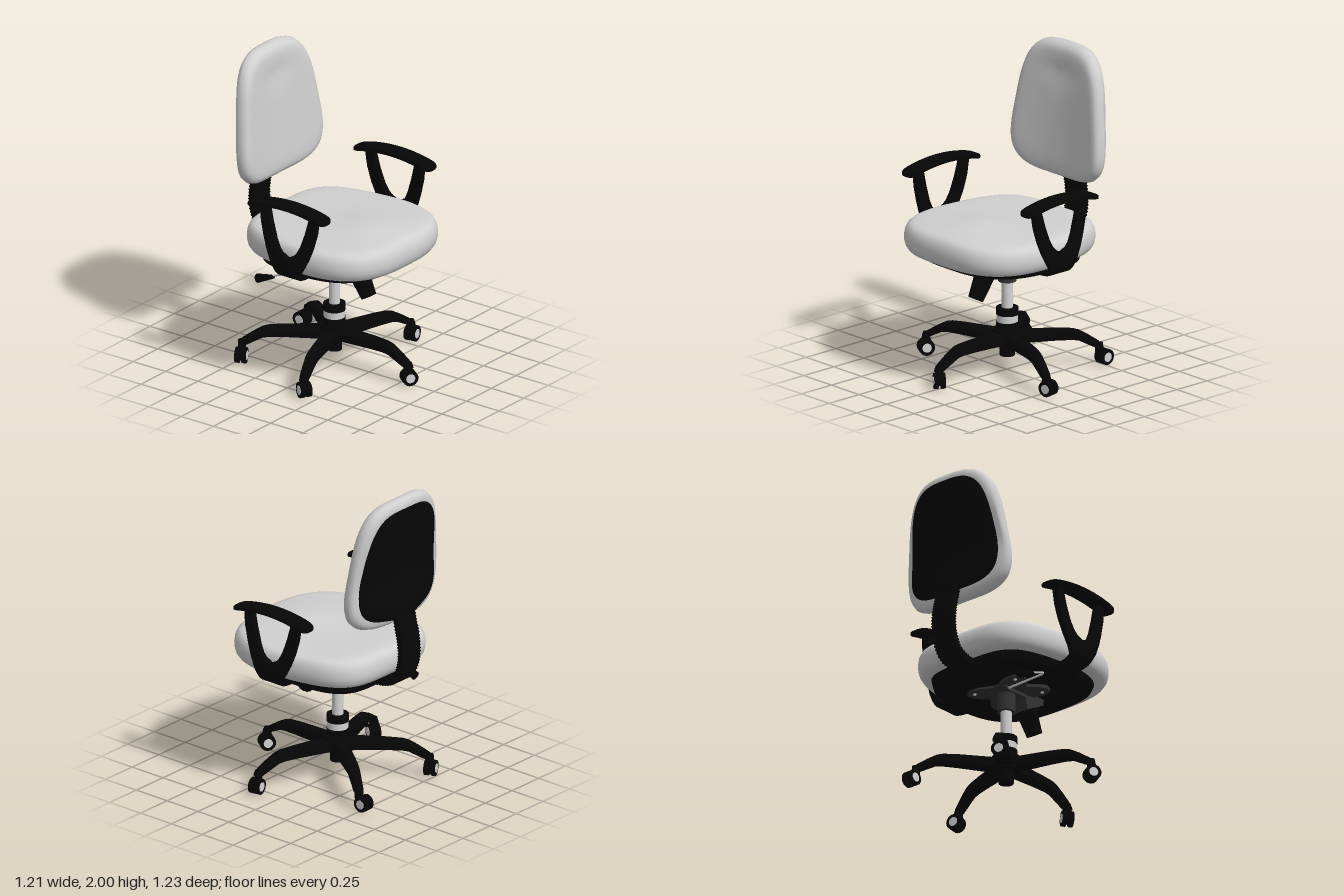
import * as THREE from 'three';
import { toCreasedNormals } from 'three/addons/utils/BufferGeometryUtils.js';

const mat = (name, color) => {
  const m = new THREE.MeshStandardMaterial({ color });
  m.name = name;
  return m;
};
const V = (x, y, z) => new THREE.Vector3(x, y, z);
const gauss = (a, w) => Math.exp(-((a / w) ** 2));

// Skin a list of closed cross-sections and cap both ends; faces always point outwards.
function loft(sections, crease = 0) {
  const n = sections[0].length, pts = sections.flat(), idx = [];
  for (let i = 0; i < sections.length - 1; i++) {
    for (let j = 0; j < n; j++) {
      const a = i * n + j, b = i * n + (j + 1) % n;
      idx.push(a, b, b + n, a, b + n, a + n);
    }
  }
  for (const s of [0, sections.length - 1]) {
    const c = pts.length;
    pts.push(sections[s].reduce((sum, p) => sum.add(p), V(0, 0, 0)).divideScalar(n));
    for (let j = 0; j < n; j++) {
      const a = s * n + j, b = s * n + (j + 1) % n;
      s === 0 ? idx.push(c, b, a) : idx.push(c, a, b);
    }
  }
  let volume = 0;
  for (let i = 0; i < idx.length; i += 3) {
    volume += pts[idx[i]].dot(pts[idx[i + 1]].clone().cross(pts[idx[i + 2]]));
  }
  if (volume < 0) idx.reverse();
  const g = new THREE.BufferGeometry().setFromPoints(pts);
  g.setIndex(idx);
  g.computeVertexNormals();
  return crease ? toCreasedNormals(g, crease) : g;
}

// Superellipse loop of [u, v] pairs.
function loop(count, w, h, power) {
  const f = (c) => Math.sign(c) * Math.abs(c) ** (2 / power);
  return Array.from({ length: count }, (_, i) => {
    const t = (i + 0.5) / count * Math.PI * 2;
    return [w * f(Math.cos(t)), h * f(Math.sin(t))];
  });
}

// Padded form: one outline scaled through [scale, depth] rings, then placed by a rule.
const padded = (outline, rings, place, crease) =>
  loft(rings.map(([s, d]) => outline.map(([u, v]) => place(u * s, v * s, d))), crease);

// Piecewise linear lookup in [key, value] rows with falling keys.
function lookup(rows, k) {
  if (k >= rows[0][0]) return rows[0][1];
  for (let i = 1; i < rows.length; i++) {
    const [k0, v0] = rows[i - 1], [k1, v1] = rows[i];
    if (k >= k1) return v0 + (v1 - v0) * (k0 - k) / (k0 - k1);
  }
  return rows[rows.length - 1][1];
}

export function createModel() {
  const fabric = mat('grey fabric', 0xd0d0d0);
  const black = mat('black plastic', 0x060606);
  const darkMetal = mat('dark metal', 0x343434);
  const metal = mat('light metal', 0xd4d4d4);

  const chair = new THREE.Group();
  chair.name = 'officeChair';
  chair.position.x = -0.007;
  const add = (name, geo, material, parent = chair, x = 0, y = 0, z = 0) => {
    const m = new THREE.Mesh(geo, material);
    m.name = name;
    m.position.set(x, y, z);
    parent.add(m);
    return m;
  };
  const cyl = (r0, r1, h, sides = 28) => new THREE.CylinderGeometry(r0, r1, h, sides);

  // Seat cushion: bowed front, squarer tapering rear, gentle rise near the front
  const seatOutline = [...loop(72, 0.527, 0.525, 2.95).slice(0, 36), ...loop(72, 0.527, 0.525, 4.2).slice(36)];
  const placeSeat = (x, z, y) => {
    const rise = y > 0.95 ? 0.03 * gauss(x, 0.24) * gauss(z - 0.2, 0.22) : 0;
    return V(x * (1 + 0.32 * Math.min(0, z)), y + rise, z + 0.05);
  };
  add('seatCushion', padded(seatOutline, [[0.05, 0.785], [0.9, 0.785], [0.955, 0.795], [0.985, 0.82],
    [0.998, 0.85], [1, 0.88], [0.99, 0.915], [0.965, 0.943], [0.93, 0.958], [0.88, 0.966], [0.8, 0.97],
    [0.65, 0.972], [0.5, 0.972], [0.35, 0.972], [0.2, 0.972], [0.05, 0.972]], placeSeat), fabric);

  // Pan below the seat, deeper towards the rear
  const placePan = (x, z, y) => placeSeat(x, z, y < 0.78 ? y - 0.042 * (0.36 - z) : y);
  add('seatPan', padded(seatOutline, [[0.05, 0.745], [0.5, 0.745], [0.77, 0.745], [0.82, 0.752],
    [0.85, 0.79], [0.05, 0.79]], placePan, 0.5), black);

  // Backrest cushion, curved in plan and leaning back, with its rear shell
  const backOutline = loop(72, 0.383, 0.425, 3.6).map(([x, v]) => [x * (1 - 0.16 * v / 0.425), v]);
  const placeBack = (x, v, d) => {
    const y = v + 1.575;
    let z = -0.472 - 0.08 * (y - 1.25) + 0.29 * x * x + d;
    if (d > 0.05) z -= 0.012 * gauss(y - 1.81, 0.07) * gauss(x, 0.15);
    if (d < -0.045) z += 0.024 * gauss(y - 1.52, 0.2);
    if (d < -0.06) z -= 0.052 * gauss(x, 0.13) * gauss(y - 1.22, 0.12);
    return V(x, y, z);
  };
  add('backCushion', padded(backOutline, [[0.05, -0.052], [0.85, -0.052], [0.93, -0.046], [0.98, -0.03],
    [1, -0.005], [0.985, 0.025], [0.95, 0.045], [0.9, 0.056], [0.83, 0.06], [0.73, 0.062], [0.63, 0.062],
    [0.53, 0.062], [0.4, 0.062], [0.2, 0.062], [0.05, 0.062]], placeBack), fabric);
  add('backShell', padded(backOutline, [[0.05, -0.046], [0.86, -0.046], [0.86, -0.061], [0.83, -0.068],
    [0.74, -0.07], [0.62, -0.07], [0.5, -0.07], [0.3, -0.07], [0.05, -0.07]], placeBack, 0.7), black);

  // Ribbed spine joining seat and backrest
  const spinePath = new THREE.CatmullRomCurve3([[-0.36, 0.75], [-0.45, 0.758], [-0.53, 0.793], [-0.575, 0.87],
    [-0.592, 0.96], [-0.582, 1.08], [-0.562, 1.16], [-0.548, 1.24]].map(([z, y]) => V(0, y, z)));
  const spine = [];
  for (let i = 0; i <= 128; i++) {
    const p = spinePath.getPointAt(i / 128), t = spinePath.getTangentAt(i / 128);
    const raised = i % 4 < 2, h = raised ? 0.023 : 0.019, w = raised ? 0.083 : 0.08;
    spine.push([[-w, -h], [w, -h], [w, h], [-w, h]].map(([x, d]) => V(x, p.y + t.z * d, p.z - t.y * d)));
  }
  add('spine', loft(spine, 0.4), black);

  // Armrests: bent forked bracket and arched pad
  const armPath = new THREE.CatmullRomCurve3([[0.532, 1.225], [0.543, 1.02], [0.556, 0.89], [0.559, 0.84],
    [0.545, 0.79], [0.5, 0.768], [0.4, 0.757], [0.3, 0.752]].map(([x, y]) => V(x, y, 0)));
  const outer = [[1.2, 0.215], [1.1, 0.205], [1, 0.18], [0.92, 0.152], [0.85, 0.118], [0.79, 0.083], [0.76, 0.07]];
  const inner = [[1.2, 0.162], [1.1, 0.135], [1, 0.1], [0.95, 0.073], [0.92, 0.043], [0.91, 0]];
  for (const side of [1, -1]) {
    const arm = new THREE.Group();
    arm.name = side > 0 ? 'leftArmrest' : 'rightArmrest';
    chair.add(arm);
    for (const end of [1, -1]) {
      const sections = [];
      for (let i = 0; i <= 60; i++) {
        const p = armPath.getPointAt(i / 60), t = armPath.getTangentAt(i / 60);
        const zi = 0.05 + end * lookup(inner, p.y), zo = 0.05 + end * lookup(outer, p.y);
        const h = lookup([[1.2, 0.023], [0.9, 0.017]], p.y);
        sections.push([[zi, -h], [zo, -h], [zo, h], [zi, h]].map(([z, d]) =>
          V(side * (p.x - t.y * d), p.y + t.x * d, z)));
      }
      add(end > 0 ? 'frontArmBracket' : 'rearArmBracket', loft(sections, 0.6), black, arm);
    }
    const pad = [];
    for (let i = 0; i <= 32; i++) {
      const u = -Math.cos(i / 32 * Math.PI) * 0.999;
      const w = (1 - Math.abs(u) ** 14) ** 0.3;
      pad.push(loop(24, 0.061 * w, 0.018 * Math.sqrt(w), 4).map(([x, y]) =>
        V(side * 0.536 + x, 1.24 - 0.042 * u * u + y, 0.045 + 0.295 * u)));
    }
    add('armPad', loft(pad), black, arm);
  }

  // Mounting plate with four soft lobes and screws
  const plate = new THREE.Shape(Array.from({ length: 64 }, (_, i) => {
    const a = i / 64 * Math.PI * 2, r = 0.195 - 0.06 * Math.cos(4 * a);
    return new THREE.Vector2(1.12 * r * Math.cos(a), 0.85 * r * Math.sin(a));
  }));
  const plateGeo = new THREE.ExtrudeGeometry(plate, { depth: 0.022, bevelEnabled: false });
  add('mountingPlate', plateGeo.rotateX(Math.PI / 2), darkMetal, chair, 0, 0.731, 0.01);
  for (const x of [0.165, -0.165]) {
    for (const z of [0.135, -0.115]) add('plateScrew', cyl(0.011, 0.011, 0.008, 12), metal, chair, x, 0.707, z);
  }

  // Tilt housing and its tension knob
  const housing = new THREE.Shape([[0.26, 0.73], [0.255, 0.69], [0.11, 0.615], [0.09, 0.69], [-0.07, 0.685],
    [-0.11, 0.71], [-0.11, 0.73]].map(([z, y]) => new THREE.Vector2(-z, y)));
  const housingGeo = new THREE.ExtrudeGeometry(housing, { depth: 0.136, bevelEnabled: false });
  add('tiltHousing', housingGeo.translate(0, 0, -0.068).rotateY(Math.PI / 2), darkMetal);
  const knob = add('tensionKnob', cyl(0.066, 0.05, 0.165, 12), black, chair, 0, 0.58, 0.212);
  knob.rotation.x = -0.5;

  // Height lever
  const rodPath = new THREE.CatmullRomCurve3([V(-0.04, 0.7, -0.06), V(-0.34, 0.7, -0.075), V(-0.375, 0.695, -0.1),
    V(-0.379, 0.655, -0.21)], false, 'catmullrom', 0.2);
  add('leverRod', new THREE.TubeGeometry(rodPath, 32, 0.007, 8), metal);
  const grip = add('leverGrip', cyl(0.012, 0.029, 0.13, 16), black, chair, -0.379, 0.633, -0.255);
  grip.rotation.x = Math.PI / 2 - 0.33;

  // Gas column and five-star base
  const base = new THREE.Group();
  base.name = 'base';
  base.position.z = -0.013;
  chair.add(base);
  const column = [['columnSleeve', 0.057, 0.57, 0.72, darkMetal], ['piston', 0.035, 0.38, 0.58, metal],
    ['upperCollar', 0.069, 0.355, 0.4, black], ['collarRing', 0.066, 0.31, 0.355, metal],
    ['lowerCollar', 0.069, 0.25, 0.31, black], ['hub', 0.09, 0.168, 0.262, black], ['hubStem', 0.047, 0.09, 0.2, black]];
  for (const [name, r, y0, y1, m] of column) add(name, cyl(r, r, y1 - y0), m, base, 0, (y0 + y1) / 2, 0);

  // [radius, top, bottom, half width] along one leg
  const legRows = [[0.03, 0.247, 0.175, 0.05], [0.3, 0.245, 0.183, 0.042], [0.4, 0.24, 0.182, 0.038],
    [0.44, 0.23, 0.175, 0.036], [0.5, 0.197, 0.145, 0.033], [0.56, 0.158, 0.115, 0.03], [0.59, 0.135, 0.108, 0.024]];
  const legGeo = loft(legRows.map(([r, t, b, w]) => [[-w, b], [w, b], [w, t - 0.022], [w * 0.65, t],
    [-w * 0.65, t], [-w, t - 0.022]].map(([x, y]) => V(x, y, r))), 0.5);

  // Casters: [turn in degrees, trail] for each leg
  const casters = [[-35, 0.005], [10, 0.02], [90, 0.04], [205, 0.018], [240, 0.005]];
  casters.forEach(([turn, trail], i) => {
    const a = i * Math.PI * 0.4;
    add('baseLeg', legGeo, black, base).rotation.y = a;
    const caster = new THREE.Group();
    caster.name = 'caster';
    caster.position.set(Math.sin(a) * 0.568, 0, Math.cos(a) * 0.568);
    caster.rotation.y = THREE.MathUtils.degToRad(turn);
    base.add(caster);
    add('casterStem', cyl(0.023, 0.027, 0.07, 16), black, caster, 0, 0.112, 0);
    add('casterBody', cyl(0.04, 0.04, 0.03, 20).rotateX(Math.PI / 2), black, caster, trail * 0.8, 0.06, 0);
    for (const s of [1, -1]) {
      add('wheel', cyl(0.05, 0.05, 0.026).rotateX(Math.PI / 2), black, caster, trail, 0.051, s * 0.022);
      add('wheelCap', cyl(0.029, 0.029, 0.006).rotateX(Math.PI / 2), metal, caster, trail, 0.051, s * 0.035);
    }
  });
  return chair;
}
